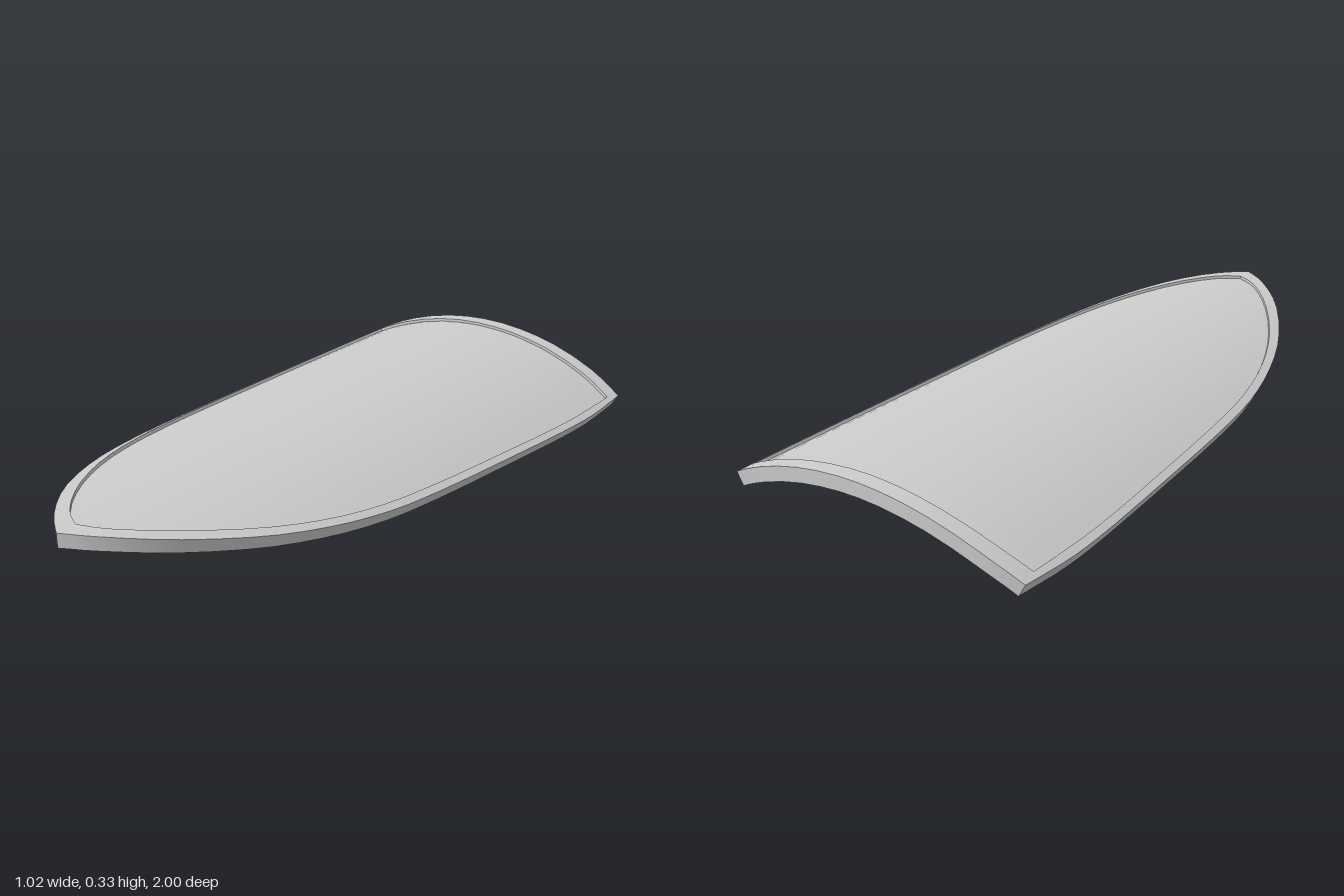
import * as THREE from 'three';
import { toCreasedNormals } from 'three/addons/utils/BufferGeometryUtils.js';

const R = 1.03;          // radius of the shield's curvature
const CY = 0.335 - R;    // height of the curvature axis
const THICK = 0.044, STEP = 0.01;

// Wrap a plan point (x, z) on the curved shell, at offset h from the rim's top
function wrap([x, z], h) {
  const k = (R + h) / R;
  return [x * k, CY + k * Math.sqrt(R * R - x * x), z];
}

// Smoothly sample a plan curve
function sample(points, n) {
  const curve = new THREE.CatmullRomCurve3(points.map(([x, z]) => new THREE.Vector3(x, 0, z)), false, 'centripetal');
  return curve.getPoints(n).map((p) => [p.x, p.z]);
}

// Half outline: back edge from the centre to the corner, then the side to the tip
function halfOutline(back, side) {
  return [...sample(back, 8), ...sample([back[back.length - 1], ...side], 28).slice(1)];
}

// Grid surface from rows of points
function surface(rows) {
  const n = rows[0].length, index = [];
  for (let i = 0; i < rows.length - 1; i++) {
    for (let j = 0; j < n - 1; j++) {
      const a = i * n + j, b = a + n;
      index.push(a, b, a + 1, a + 1, b, b + 1);
    }
  }
  const g = new THREE.BufferGeometry();
  g.setAttribute('position', new THREE.Float32BufferAttribute(rows.flat(2), 3));
  g.setIndex(index);
  return toCreasedNormals(g, 0.5);
}

// Fill an outline from side to side; dir = 1 faces up, -1 faces down
function sheet(outline, h, dir) {
  const cols = 24;
  return surface(outline.map(([x, z]) =>
    Array.from({ length: cols + 1 }, (_, j) => wrap([x * dir * (2 * j / cols - 1), z], h))));
}

export function createModel() {
  const group = new THREE.Group();
  const grey = new THREE.MeshStandardMaterial({ color: 0xcccccc });
  grey.name = 'light grey';
  const add = (name, geometry, parent = group) => {
    const mesh = new THREE.Mesh(geometry, grey);
    mesh.name = name;
    parent.add(mesh);
    return mesh;
  };

  // Plan outlines of the rim's outer and inner edges
  const outer = halfOutline(
    [[0, -1], [0.2, -0.998], [0.4, -0.988], [0.5, -0.972]],
    [[0.51, -0.8], [0.508, -0.65], [0.49, -0.3], [0.471, 0], [0.45, 0.2], [0.407, 0.4],
      [0.335, 0.6], [0.21, 0.81], [0.08, 0.945], [0, 1]]);
  const inner = halfOutline(
    [[0, -0.95], [0.2, -0.949], [0.4, -0.937], [0.486, -0.922]],
    [[0.488, -0.8], [0.487, -0.65], [0.468, -0.3], [0.447, 0], [0.425, 0.2], [0.38, 0.4],
      [0.305, 0.59], [0.185, 0.78], [0.07, 0.9], [0, 0.938]]);

  // Recessed front panel and smooth underside
  add('panel', sheet(inner, -STEP, 1));
  add('underside', sheet(outer, -THICK, -1));

  // Raised rim: step wall, top band and outer wall in one loop
  const ring = (half) => [...half, ...half.slice(0, -1).reverse().map(([x, z]) => [-x, z])];
  const ringIn = ring(inner), ringOut = ring(outer);
  add('rim', surface(ringOut.map((p, i) => [
    wrap(ringIn[i], -STEP), wrap(ringIn[i], 0), wrap(p, 0), wrap(p, -THICK)])));

  // Flanged collar, from a thin neck up to a wide foot
  const collarProfile = [[0.011, -0.038], [0.017, -0.036], [0.019, -0.028], [0.016, -0.021],
    [0.022, -0.016], [0.025, -0.01], [0.025, 0.016]].map(([x, y]) => new THREE.Vector2(x, y));
  const collar = toCreasedNormals(new THREE.LatheGeometry(collarProfile, 16), 0.6);

  // Carrying handles: a bent tube with a collar at each end
  const handles = {
    armStrap: [[-0.39, 0.205, -0.265], [-0.387, 0.158, -0.275], [-0.365, 0.13, -0.34], [-0.3, 0.133, -0.5],
      [-0.245, 0.15, -0.64], [-0.219, 0.19, -0.715], [-0.215, 0.262, -0.73]],
    handGrip: [[-0.29, 0.242, -0.09], [-0.278, 0.18, -0.11], [-0.25, 0.08, -0.18], [-0.225, 0.04, -0.235],
      [-0.188, 0.017, -0.335], [-0.155, 0.05, -0.41], [-0.125, 0.13, -0.48], [-0.1, 0.2, -0.52],
      [-0.095, 0.282, -0.53]],
  };
  for (const [name, points] of Object.entries(handles)) {
    const handle = new THREE.Group();
    handle.name = name;
    group.add(handle);
    const path = new THREE.CatmullRomCurve3(points.map((p) => new THREE.Vector3(...p)));
    add('strap', new THREE.TubeGeometry(path, 40, 0.0125, 10), handle);
    for (const end of [points[0], points[points.length - 1]]) {
      add('collar', collar, handle).position.set(...end);
    }
  }
  return group;
}
